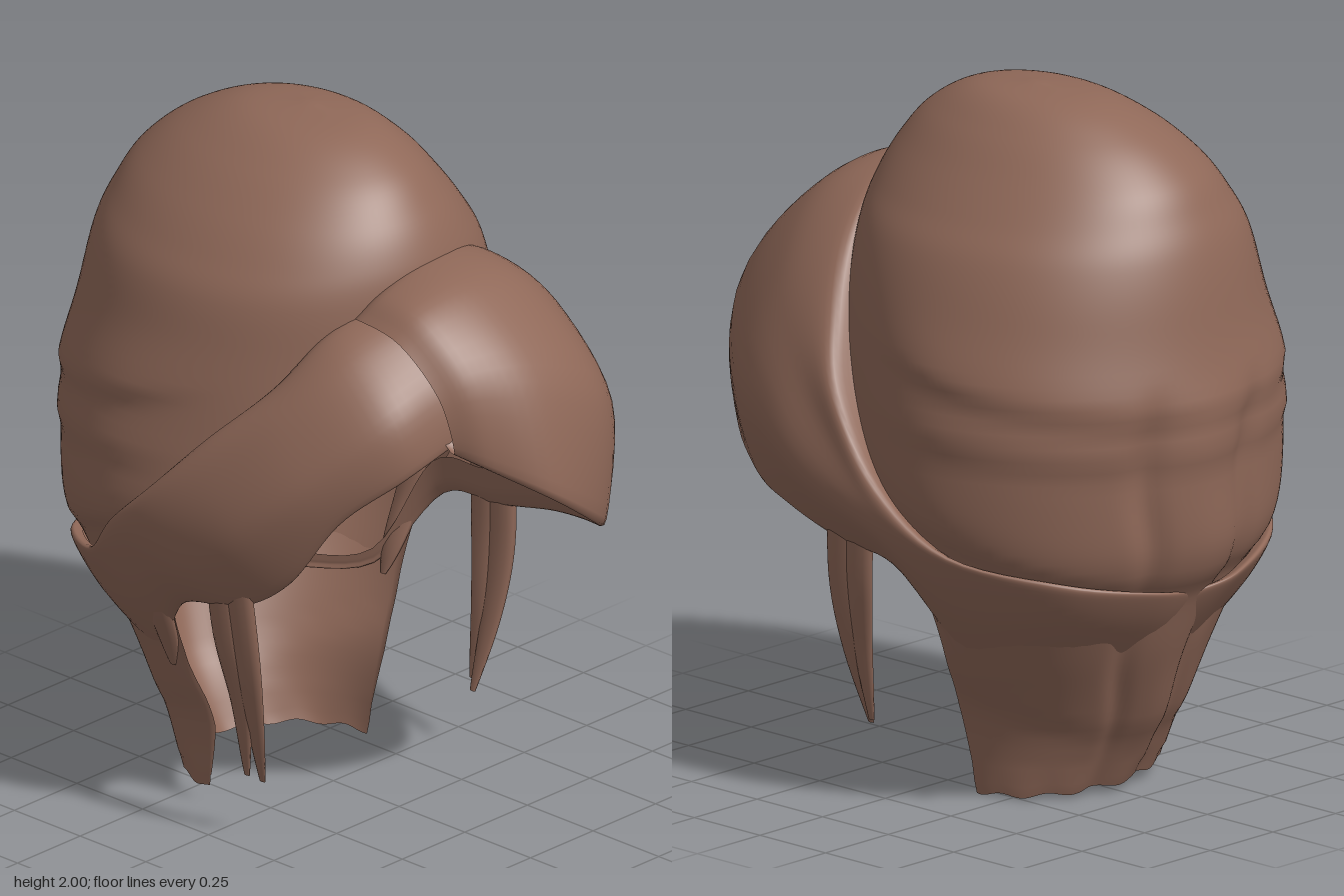
import * as THREE from 'three';
import { mergeVertices } from 'three/addons/utils/BufferGeometryUtils.js';

const hair = new THREE.MeshStandardMaterial({ color: 0x8f6858, side: THREE.DoubleSide });
hair.name = 'brown hair';

const V = (p) => new THREE.Vector3(...p);
const spline = (pts) => new THREE.CatmullRomCurve3(pts, false, 'catmullrom', 0.5);

// Smooth sheet from a function of (u, v), both 0..1
function sheet(name, nu, nv, at) {
  const pos = [], index = [];
  for (let i = 0; i <= nu; i++) {
    for (let j = 0; j <= nv; j++) {
      pos.push(...at(i / nu, j / nv));
      if (i < nu && j < nv) {
        const a = i * (nv + 1) + j, b = a + nv + 1;
        index.push(a, a + 1, b, b, a + 1, b + 1);
      }
    }
  }
  let g = new THREE.BufferGeometry();
  g.setAttribute('position', new THREE.Float32BufferAttribute(pos, 3));
  g.setIndex(index);
  g = mergeVertices(g, 1e-4);
  g.computeVertexNormals();
  const m = new THREE.Mesh(g, hair);
  m.name = name;
  return m;
}

// Crown, back and nape: rings of [y, xMin, xMax, zBack, zCentre, zFront, opening half angle]
const RINGS = [
  [2.0, 0.05, 0.05, -0.14, -0.14, -0.14, 0],
  [1.975, -0.11, 0.18, -0.36, -0.14, 0.07, 0],
  [1.9, -0.24, 0.28, -0.53, -0.15, 0.22, 0],
  [1.8, -0.35, 0.37, -0.65, -0.16, 0.31, 0],
  [1.7, -0.43, 0.45, -0.71, -0.17, 0.36, 0],
  [1.6, -0.49, 0.52, -0.75, -0.18, 0.38, 0],
  [1.45, -0.53, 0.575, -0.78, -0.2, 0.39, 0.5],
  [1.25, -0.57, 0.61, -0.8, -0.22, 0.39, 0.95],
  [1.0, -0.6, 0.62, -0.8, -0.24, 0.36, 1.05],
  [0.8, -0.56, 0.58, -0.78, -0.23, 0.25, 1.25],
  [0.62, -0.49, 0.51, -0.7, -0.22, 0.1, 1.35],
  [0.45, -0.42, 0.43, -0.63, -0.18, 0.0, 1.42],
  [0.25, -0.36, 0.33, -0.53, -0.14, -0.02, 1.35],
  [0.03, -0.34, 0.29, -0.41, -0.15, -0.1, 1.5],
];

// Overlapping folds: each bulges above its line and drops sharply below it
function folds(t, y) {
  const c = Math.cos(t), s = Math.sin(t);
  const lines = [[1.31 + 0.11 * c, 0.035], [1.13 + 0.05 * c, 0.025],
    [0.9 + 0.2 * c - 0.03 * s, 0.03], [0.36 + 0.14 * c, 0.025]];
  let d = 0;
  for (const [yf, h] of lines) {
    const k = y - yf;
    d += h * Math.exp(-((k / (k > 0 ? 0.13 : 0.035)) ** 2));
  }
  d *= THREE.MathUtils.smoothstep(-c, -0.45, 0.2);
  // twisted lock down the middle of the back
  const low = 1 - THREE.MathUtils.smoothstep(y, 1.05, 1.3);
  const off = t - Math.PI + 0.08 - 0.03 * Math.sin(y * 11);
  d += low * (0.03 * Math.exp(-((off / 0.17) ** 2)) - 0.04 * Math.exp(-(((Math.abs(off) - 0.3) / 0.08) ** 2)));
  return d;
}

function crown() {
  const xy = spline(RINGS.map((r) => V([r[1], r[2], r[0]])));
  const zz = spline(RINGS.map((r) => V([r[3], r[4], r[5]])));
  return sheet('crownAndNape', 90, 110, (u, v) => {
    const p = xy.getPoint(u), q = zz.getPoint(u);
    const f = u * (RINGS.length - 1), i = Math.min(Math.floor(f), RINGS.length - 2);
    const a = THREE.MathUtils.lerp(RINGS[i][6], RINGS[i + 1][6], f - i);
    const t = a + v * (2 * Math.PI - 2 * a), c = Math.cos(t);
    const k = 1 + folds(t, p.z);
    // uneven lower hem
    const hem = u > 0.985 ? 0.006 * Math.sin(v * 43) + 0.02 * Math.sin(t) : 0;
    return [(p.x + p.y) / 2 + ((p.y - p.x) / 2) * Math.sin(t) * k, p.z - hem,
      q.y + (c > 0 ? q.z - q.y : q.y - q.x) * c * k];
  });
}

// Fringe sweep lofted through sections of four points, upper edge to lower edge;
// both edges are tucked inward to give the lock thickness, less so at the back
function sweep(name, sections) {
  const rows = sections.map((s) => {
    const p = s.map(V);
    const tuck = (e, r, dy) => {
      const k = e.z < -0.2 ? 0.35 : 1;
      return new THREE.Vector3(e.x * (1 - r * k), e.y + dy * k, (e.z + 0.15) * (1 - r * k) - 0.15);
    };
    return [tuck(p[0], 0.13, -0.03), ...p, tuck(p[3], 0.07, 0.015), tuck(p[3], 0.1, 0.1)];
  });
  const rails = rows[0].map((_, j) => spline(rows.map((r) => r[j])));
  return sheet(name, 66, 36, (u, v) => spline(rails.map((r) => r.getPoint(u))).getPoint(v).toArray());
}

const LEFT = [
  [[-0.25, 1.58, 0.34], [-0.26, 1.56, 0.5], [-0.24, 1.43, 0.63], [-0.21, 1.27, 0.66]],
  [[-0.17, 1.645, 0.37], [-0.17, 1.62, 0.53], [-0.15, 1.46, 0.69], [-0.13, 1.22, 0.74]],
  [[0.0, 1.685, 0.37], [0.02, 1.635, 0.55], [0.04, 1.43, 0.75], [0.04, 1.11, 0.83]],
  [[0.2, 1.66, 0.34], [0.25, 1.58, 0.53], [0.3, 1.31, 0.74], [0.29, 0.94, 0.76]],
  [[0.38, 1.54, 0.28], [0.45, 1.42, 0.44], [0.51, 1.14, 0.57], [0.45, 0.84, 0.55]],
  [[0.51, 1.36, 0.2], [0.56, 1.26, 0.3], [0.61, 1.04, 0.37], [0.51, 0.79, 0.37]],
  [[0.6, 1.17, 0.1], [0.62, 1.09, 0.14], [0.645, 0.92, 0.18], [0.53, 0.73, 0.15]],
  [[0.62, 0.94, -0.08], [0.64, 0.88, -0.09], [0.62, 0.79, -0.08], [0.53, 0.69, -0.07]],
  [[0.59, 0.78, -0.32], [0.59, 0.75, -0.32], [0.53, 0.61, -0.29], [0.43, 0.46, -0.25]],
  [[0.42, 0.72, -0.6], [0.42, 0.69, -0.6], [0.38, 0.58, -0.55], [0.29, 0.43, -0.46]],
  [[0.17, 0.67, -0.72], [0.17, 0.65, -0.72], [0.15, 0.56, -0.67], [0.12, 0.43, -0.57]],
  [[-0.02, 0.64, -0.71], [-0.02, 0.62, -0.71], [-0.02, 0.54, -0.66], [-0.02, 0.43, -0.57]],
];
const RIGHT = [
  [[-0.17, 1.6, 0.33], [-0.17, 1.56, 0.46], [-0.18, 1.43, 0.58], [-0.17, 1.27, 0.62]],
  [[-0.32, 1.53, 0.28], [-0.36, 1.48, 0.4], [-0.37, 1.35, 0.54], [-0.33, 1.2, 0.58]],
  [[-0.45, 1.39, 0.2], [-0.5, 1.33, 0.28], [-0.52, 1.18, 0.39], [-0.45, 1.07, 0.45]],
  [[-0.56, 1.23, 0.05], [-0.6, 1.15, 0.11], [-0.6, 1.0, 0.22], [-0.5, 0.86, 0.3]],
  [[-0.62, 1.07, -0.1], [-0.645, 1.0, -0.07], [-0.61, 0.86, 0.06], [-0.53, 0.75, 0.14]],
  [[-0.63, 0.92, -0.25], [-0.63, 0.87, -0.22], [-0.59, 0.77, -0.12], [-0.53, 0.69, -0.08]],
  [[-0.57, 0.78, -0.38], [-0.57, 0.75, -0.38], [-0.51, 0.61, -0.33], [-0.41, 0.46, -0.27]],
  [[-0.4, 0.72, -0.61], [-0.4, 0.69, -0.61], [-0.36, 0.58, -0.56], [-0.28, 0.43, -0.46]],
  [[-0.14, 0.67, -0.73], [-0.14, 0.65, -0.73], [-0.12, 0.56, -0.67], [-0.1, 0.43, -0.57]],
  [[0.02, 0.64, -0.71], [0.02, 0.62, -0.71], [0.02, 0.54, -0.66], [0.02, 0.43, -0.57]],
];

// Flat tapering lock: wide along z, thin along x
function strand(name, pts, width, thick) {
  const path = spline(pts.map(V));
  return sheet(name, 16, 10, (u, v) => {
    const p = path.getPoint(u), a = v * 2 * Math.PI, w = 1 - 0.8 * u ** 2.5;
    return [p.x + Math.cos(a) * thick * w, p.y, p.z + Math.sin(a) * width * w];
  });
}

export function createModel() {
  const g = new THREE.Group();
  g.name = 'hair';
  g.add(crown(), sweep('leftFringe', LEFT), sweep('rightFringe', RIGHT));

  // Loose locks hanging at the temples and in front of the nape
  for (const [side, s] of [['left', 1], ['right', -1]]) {
    const x = (v) => v * s;
    g.add(
      strand(side + 'FrontLock', [[x(0.53), 0.82, 0.14], [x(0.51), 0.6, 0.155], [x(0.475), 0.4, 0.15], [x(0.42), 0.18, 0.13]], 0.05, 0.02),
      strand(side + 'RearLock', [[x(0.53), 0.82, 0.07], [x(0.515), 0.62, 0.085], [x(0.48), 0.42, 0.105], [x(0.45), 0.2, 0.1]], 0.05, 0.02),
      strand(side + 'NapeLock', [[x(0.53), 0.74, -0.18], [x(0.5), 0.64, -0.19], [x(0.45), 0.52, -0.2], [x(0.42), 0.43, -0.21]], 0.05, 0.025),
    );
  }
  return g;
}
